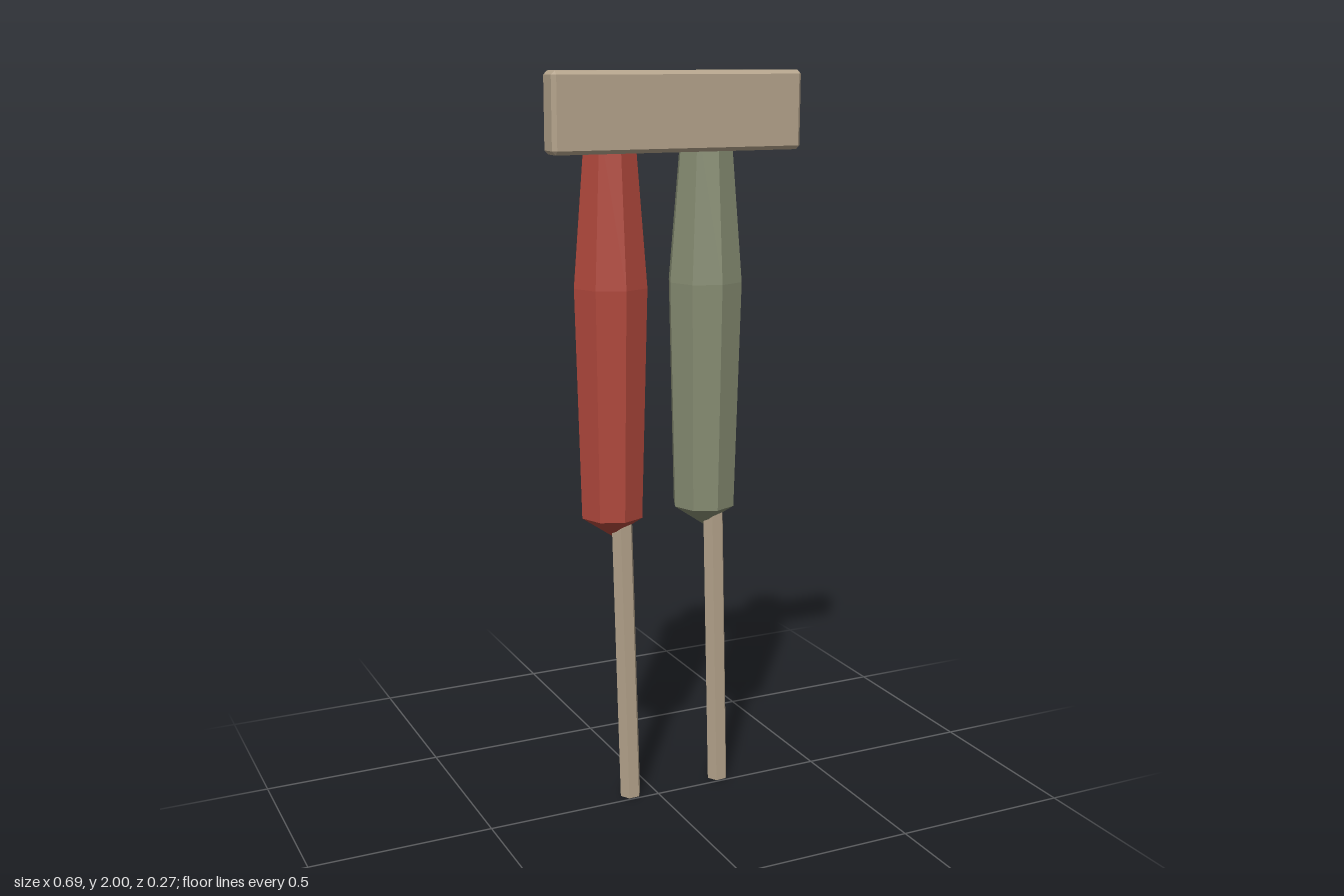
import * as THREE from 'three';
import { ConvexGeometry } from 'three/addons/geometries/ConvexGeometry.js';

const mat = (color) => new THREE.MeshStandardMaterial({ color, flatShading: true });

// Box with every edge cut at 45 degrees
function chamferedBox(w, h, d, c) {
  const pts = [];
  for (const x of [-1, 1]) for (const y of [-1, 1]) for (const z of [-1, 1]) {
    for (let axis = 0; axis < 3; axis++) {
      const half = [w / 2 - c, h / 2 - c, d / 2 - c];
      half[axis] += c;
      pts.push(new THREE.Vector3(x * half[0], y * half[1], z * half[2]));
    }
  }
  return new ConvexGeometry(pts);
}

export function createModel() {
  const group = new THREE.Group();
  const wood = mat(0xb5a48c);

  function add(name, geometry, material, x, y, z) {
    const mesh = new THREE.Mesh(geometry, material);
    mesh.name = name;
    mesh.position.set(x, y, z);
    group.add(mesh);
    return mesh;
  }

  // Eight-sided body, pointed at both ends
  const profile = [[0, 0.77], [0.087, 0.83], [0.103, 1.45], [0.068, 1.868], [0, 1.9]]
    .map(([r, y]) => new THREE.Vector2(r, y));
  const bodyGeometry = new THREE.LatheGeometry(profile, 8);

  // Slightly leaning six-sided stick, running through the body
  const offset = new THREE.Vector3(-0.066, 1.97, 0.031);
  const stickGeometry = new THREE.CylinderGeometry(0.03, 0.03, offset.length(), 6);
  stickGeometry.rotateY(Math.PI / 2);
  const lean = new THREE.Quaternion().setFromUnitVectors(
    new THREE.Vector3(0, 1, 0), offset.clone().normalize());

  for (const [side, x, color] of [['right', -0.122, 0xb0483c], ['left', 0.154, 0x868c72]]) {
    add(side + 'Body', bodyGeometry, mat(color), x, 0, -0.035);
    add(side + 'Stick', stickGeometry, wood, x + 0.016, 0.986, -0.016).quaternion.copy(lean);
  }

  // Crossbar in front of the stick tops
  add('crossbar', chamferedBox(0.686, 0.2, 0.07, 0.01), wood, 0, 1.9, 0.102);
  return group;
}
